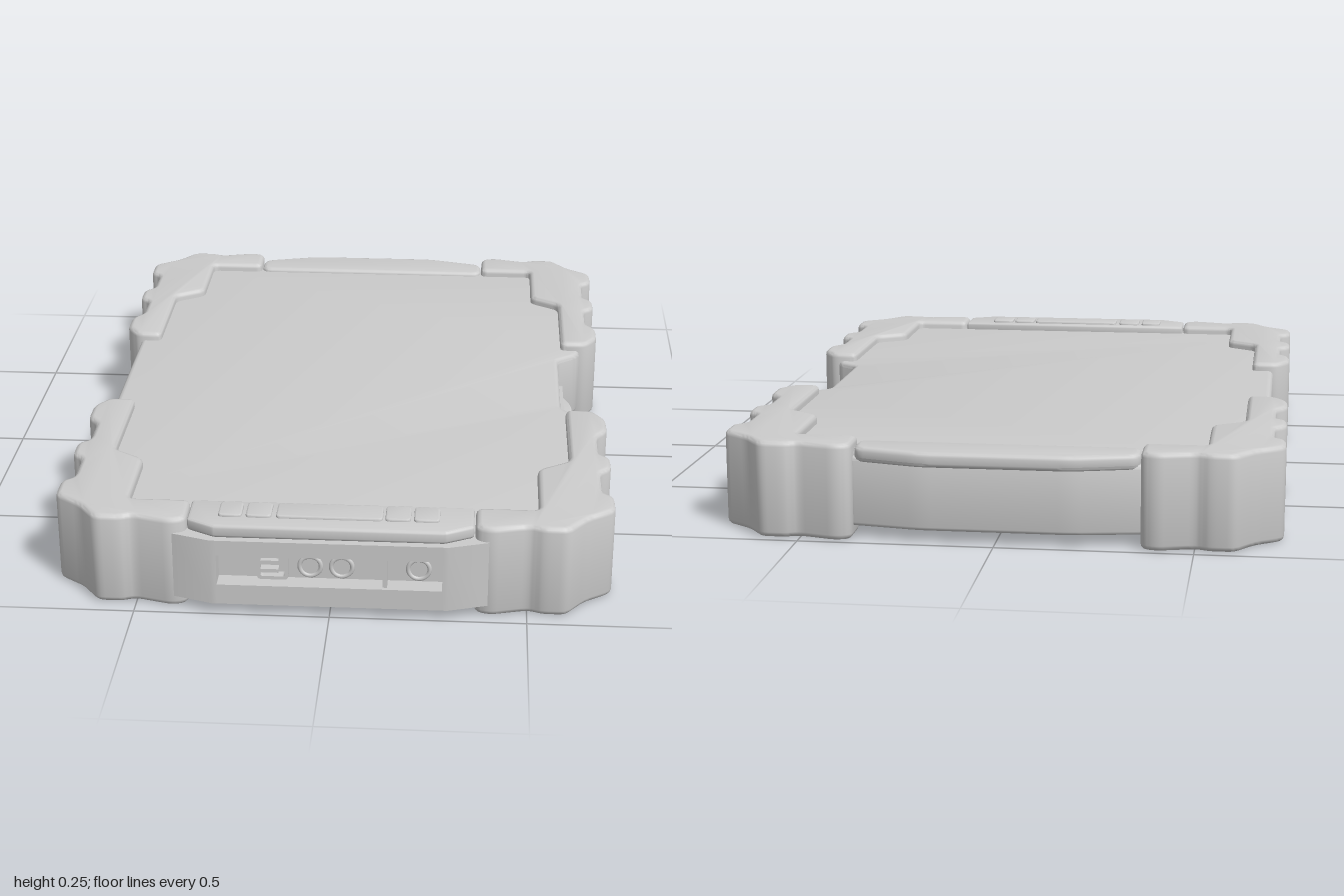
import * as THREE from 'three';
import { toCreasedNormals } from 'three/addons/utils/BufferGeometryUtils.js';

const material = new THREE.MeshStandardMaterial({ color: 0xcccccc });

function addMesh(parent, name, geometry, x = 0, y = 0, z = 0) {
  const mesh = new THREE.Mesh(geometry, material);
  mesh.name = name;
  mesh.position.set(x, y, z);
  parent.add(mesh);
  return mesh;
}

// Closed outline whose corners are softened by a radius r
function roundedOutline(points, r, Type = THREE.Shape) {
  const pts = points.map(([x, y]) => new THREE.Vector2(x, y));
  const shape = new Type();
  pts.forEach((p, i) => {
    const toward = (q) => {
      const d = q.clone().sub(p);
      return p.clone().addScaledVector(d, Math.min(r / d.length(), 0.45));
    };
    const a = toward(pts[(i + pts.length - 1) % pts.length]);
    const b = toward(pts[(i + 1) % pts.length]);
    if (i === 0) shape.moveTo(a.x, a.y);
    else shape.lineTo(a.x, a.y);
    shape.quadraticCurveTo(p.x, p.y, b.x, b.y);
  });
  shape.closePath();
  return shape;
}

// Slab from a plan outline of [x, z] points, between heights y0 and y1
function slab(points, y0, y1, bevel = 0, round = 0.004) {
  const geometry = new THREE.ExtrudeGeometry(roundedOutline(points, round), {
    depth: y1 - y0 - 2 * bevel,
    curveSegments: 4,
    bevelEnabled: bevel > 0,
    bevelThickness: bevel,
    bevelSize: bevel,
    bevelOffset: -bevel,
    bevelSegments: 3,
  });
  geometry.rotateX(Math.PI / 2);
  geometry.translate(0, y1 - bevel, 0);
  return toCreasedNormals(geometry, 0.6);
}

const rect = (x0, x1, z0, z1) => [[x0, z0], [x1, z0], [x1, z1], [x0, z1]];

// Completes the +x half of an outline with its mirror image
const mirrorX = (half) => [...half, ...half.map(([x, z]) => [-x, z]).reverse()];

// Upright plate with a hole, facing +z
function frame(w, h, border, depth, round) {
  const box = (a, b) => [[-a, -b], [a, -b], [a, b], [-a, b]];
  const shape = roundedOutline(box(w / 2, h / 2), round);
  shape.holes.push(roundedOutline(box(w / 2 - border, h / 2 - border), round * 0.6, THREE.Path));
  return new THREE.ExtrudeGeometry(shape, { depth, bevelEnabled: false, curveSegments: 6 });
}

export function createModel() {
  const model = new THREE.Group();
  model.name = 'ruggedTablet';

  // Core with the flat screen on top and a scooped bay on its left side
  addMesh(model, 'body', slab([
    [0.56, 0.92], [0.66, 0.84], [0.675, 0.29], [0.66, 0.215], [0.6, 0.17],
    [0.6, -0.18], [0.66, -0.225], [0.675, -0.29], [0.66, -0.85], [0.56, -0.93],
    [-0.56, -0.93], [-0.66, -0.85], [-0.672, -0.29], [-0.672, 0.29], [-0.66, 0.84], [-0.56, 0.92],
  ], 0.027, 0.226, 0.014, 0.02));

  // Four scalloped corner bumpers
  const bumper = [
    [0.365, 0.86], [0.365, 0.965], [0.405, 0.98], [0.505, 0.953], [0.535, 0.968],
    [0.6, 0.968], [0.65, 0.9], [0.72, 0.85], [0.72, 0.77], [0.69, 0.75],
    [0.69, 0.635], [0.72, 0.61], [0.72, 0.54], [0.69, 0.52], [0.69, 0.41],
    [0.72, 0.375], [0.72, 0.295], [0.685, 0.243], [0.61, 0.24], [0.61, 0.57],
    [0.525, 0.625], [0.525, 0.86],
  ];
  for (const sx of [1, -1]) {
    for (const sz of [1, -1]) {
      const name = (sz > 0 ? 'front' : 'back') + (sx > 0 ? 'Left' : 'Right') + 'Bumper';
      const outline = bumper.map(([x, z]) => [sx * x, sz * z - 0.01]);
      addMesh(model, name, slab(outline, 0, 0.25, 0.014, 0.02));
    }
  }

  // Front port housing: bands above and below the bay, and its two ends
  const ports = new THREE.Group();
  ports.name = 'portHousing';
  model.add(ports);
  const w = 0.285;
  addMesh(ports, 'lowerBand', slab(rect(-w, w, 0.9, 1), 0.03, 0.085, 0, 0));
  addMesh(ports, 'upperBand', slab(rect(-w, w, 0.9, 1), 0.168, 0.21, 0, 0));
  for (const s of [1, -1]) {
    const end = [[s * w, 0.9], [s * 0.4, 0.9], [s * 0.4, 0.968], [s * 0.3, 1], [s * w, 1]];
    addMesh(ports, 'housingEnd', slab(end, 0.03, 0.21, 0, 0));
  }
  addMesh(ports, 'bayFloor', new THREE.BoxGeometry(0.57, 0.09, 0.04), 0, 0.126, 0.93);
  addMesh(ports, 'bayDivider', new THREE.BoxGeometry(0.012, 0.085, 0.045), 0.14, 0.126, 0.967);
  for (const x of [-0.05, 0.03, 0.225]) {
    const socket = addMesh(ports, 'roundSocket', new THREE.CylinderGeometry(0.023, 0.023, 0.016, 24), x, 0.126, 0.955);
    socket.rotation.x = Math.PI / 2;
    addMesh(ports, 'socketRing', new THREE.TorusGeometry(0.027, 0.006, 8, 28), x, 0.126, 0.962);
  }
  addMesh(ports, 'flatSocket', frame(0.08, 0.07, 0.009, 0.025, 0.012), -0.145, 0.126, 0.95);
  for (const y of [0.114, 0.138]) {
    addMesh(ports, 'socketTongue', new THREE.BoxGeometry(0.05, 0.01, 0.025), -0.155, y, 0.96);
  }

  // Control strip above the ports
  const strip = [[0.362, 0.85], [0.362, 0.955], [0.29, 0.993]];
  addMesh(model, 'controlStrip', slab(mirrorX(strip), 0.214, 0.248, 0.008, 0.008));
  const buttons = [[-0.285, -0.225], [-0.215, -0.15], [-0.138, 0.132], [0.138, 0.202], [0.21, 0.275]];
  for (const [x0, x1] of buttons) {
    addMesh(model, 'controlButton', slab(rect(x0, x1, 0.868, 0.942), 0.24, 0.255, 0.004, 0.012));
  }

  // Bowed back wall with an overhanging brow
  const wall = [[0.39, -0.9], [0.39, -0.945], [0.19, -0.978]];
  const brow = [[0.363, -0.87], [0.363, -0.955], [0.19, -1]];
  addMesh(model, 'backWall', slab(mirrorX(wall), 0.03, 0.21, 0.01, 0.03));
  addMesh(model, 'backBrow', slab(mirrorX(brow), 0.198, 0.238, 0.012, 0.03));

  // Side switch: oval frame around a bowed slider
  const sideFrame = addMesh(model, 'switchFrame', frame(0.31, 0.068, 0.018, 0.018, 0.032), 0.597, 0.128, 0);
  sideFrame.rotation.y = Math.PI / 2;
  const slider = [[0.59, -0.12]];
  for (let i = 0; i <= 10; i++) {
    const t = i / 5 - 1;
    slider.push([0.606 + 0.034 * (1 - t * t), 0.11 * t]);
  }
  slider.push([0.59, 0.12]);
  addMesh(model, 'switchSlider', slab(slider, 0.113, 0.143, 0.004, 0.003));

  return model;
}
